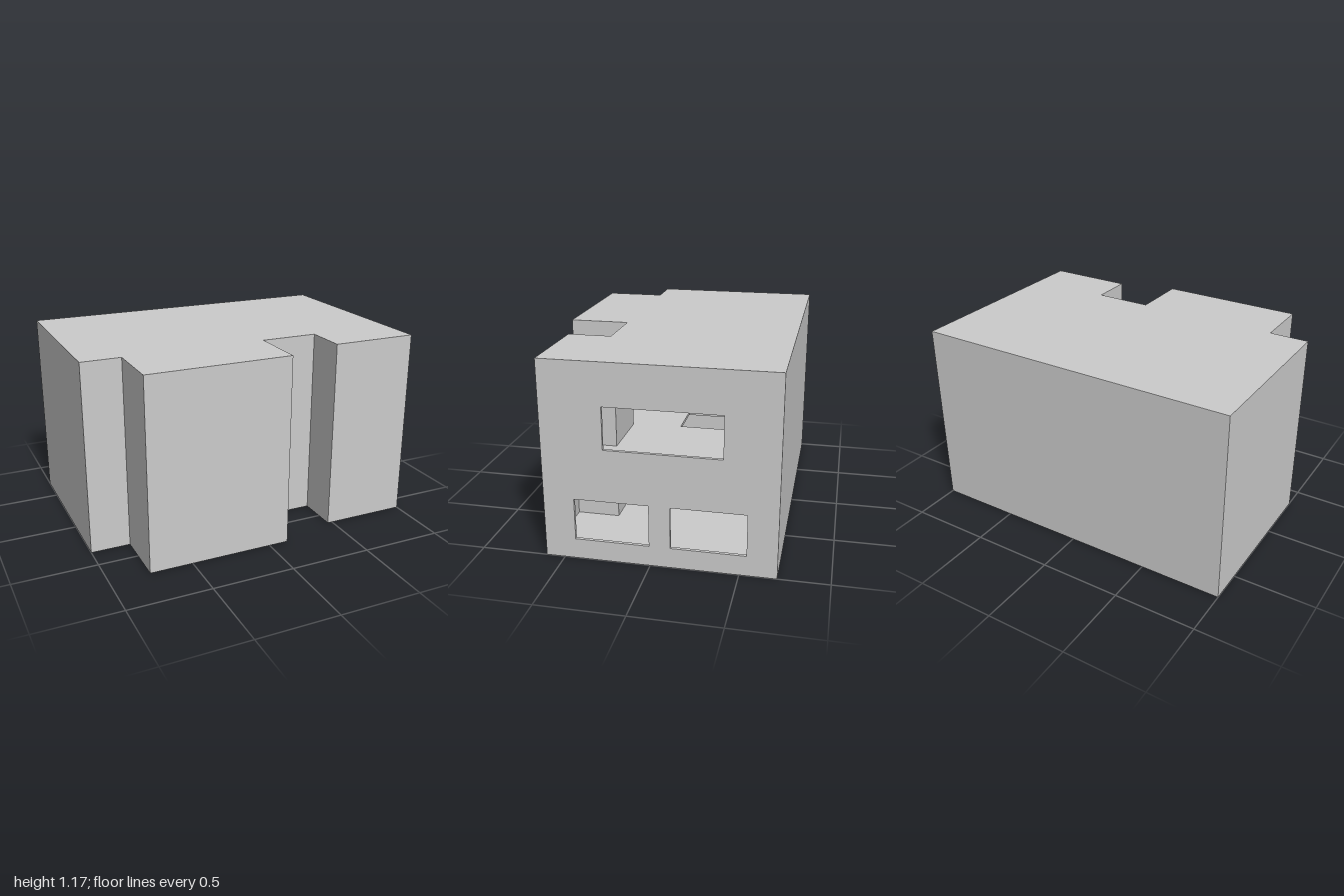
import * as THREE from 'three';

const material = new THREE.MeshStandardMaterial({ color: 0xcccccc, flatShading: true });
const T = 0.02; // wall, floor and roof thickness
const HEIGHT = 1.17;

// Outer and inner wall lines as [x, z]
const OUTER = [[-1, -0.71], [1, -0.71], [1, 0.61], [0.47, 0.61], [0.47, 0.35],
  [0.12, 0.35], [0.12, 0.71], [-0.76, 0.71], [-0.76, 0.35], [-1, 0.35]];
const INNER = [[-1 + T, -0.71 + T], [1 - T, -0.71 + T], [1 - T, 0.61 - T], [0.47 + T, 0.61 - T], [0.47 + T, 0.35 - T],
  [0.12 - T, 0.35 - T], [0.12 - T, 0.71 - T], [-0.76 + T, 0.71 - T], [-0.76 + T, 0.35 - T], [-1 + T, 0.35 - T]];

const points = (list) => list.map(([a, b]) => new THREE.Vector2(a, b));
const rect = (a0, b0, a1, b1) => new THREE.Path(points([[a0, b0], [a0, b1], [a1, b1], [a1, b0]]));

function addMesh(group, name, geometry) {
  const mesh = new THREE.Mesh(geometry, material);
  mesh.name = name;
  group.add(mesh);
}

// Extrudes an [x, z] plan between two heights
function plan(outline, bottom, top, holes = []) {
  const shape = new THREE.Shape(points(outline));
  shape.holes.push(...holes);
  return new THREE.ExtrudeGeometry(shape, { depth: top - bottom, bevelEnabled: false })
    .rotateX(Math.PI / 2).translate(0, top, 0);
}

function box(x0, x1, y0, y1, z0, z1) {
  return new THREE.BoxGeometry(x1 - x0, y1 - y0, z1 - z0)
    .translate((x0 + x1) / 2, (y0 + y1) / 2, (z0 + z1) / 2);
}

export function createModel() {
  const house = new THREE.Group();
  house.name = 'house';

  // Ground floor and flat roof
  addMesh(house, 'groundFloor', plan(OUTER, 0, T));
  addMesh(house, 'roof', plan(OUTER, HEIGHT - T, HEIGHT));

  // All walls but the windowed one, as one open ring
  const ring = [[1 - T, -0.71], [1 - T, -0.71 + T], INNER[0], ...INNER.slice(3).reverse(),
    [1 - T, 0.61 - T], [1 - T, 0.61], ...OUTER.slice(3), OUTER[0]];
  addMesh(house, 'walls', plan(ring, T, HEIGHT - T));

  // Side wall with one window upstairs and two downstairs
  const side = new THREE.Shape(points([[-0.61, T], [0.71, T], [0.71, HEIGHT - T], [-0.61, HEIGHT - T]]));
  side.holes.push(
    rect(-0.255, 0.675, 0.405, 0.922),
    rect(-0.432, 0.12, -0.006, 0.367),
    rect(0.115, 0.12, 0.54, 0.367),
  );
  addMesh(house, 'windowWall', new THREE.ExtrudeGeometry(side, { depth: T, bevelEnabled: false })
    .rotateY(Math.PI / 2).translate(1 - T, 0, 0));

  // Upper floor with a stairwell
  const stair = { x0: -0.2, x1: 0.08, back: -0.445, run: 0.051, rise: 0.043, steps: 10 };
  addMesh(house, 'upperFloor', plan(INNER, 0.47, 0.49, [rect(stair.x0, stair.back, stair.x1, 0.02)]));

  // Solid staircase rising towards the back
  const stairs = new THREE.Group();
  stairs.name = 'stairs';
  for (let i = 0; i < stair.steps; i++) {
    const z = stair.back + (stair.steps - 1 - i) * stair.run;
    addMesh(stairs, 'step', box(stair.x0, stair.x1, T, T + (i + 1) * stair.rise, z, z + stair.run));
  }
  house.add(stairs);

  // Short partition beside the stairs
  addMesh(house, 'partition', box(0.12, 0.12 + T, T, 0.47, 0.22, 0.35 - T));

  return house;
}
